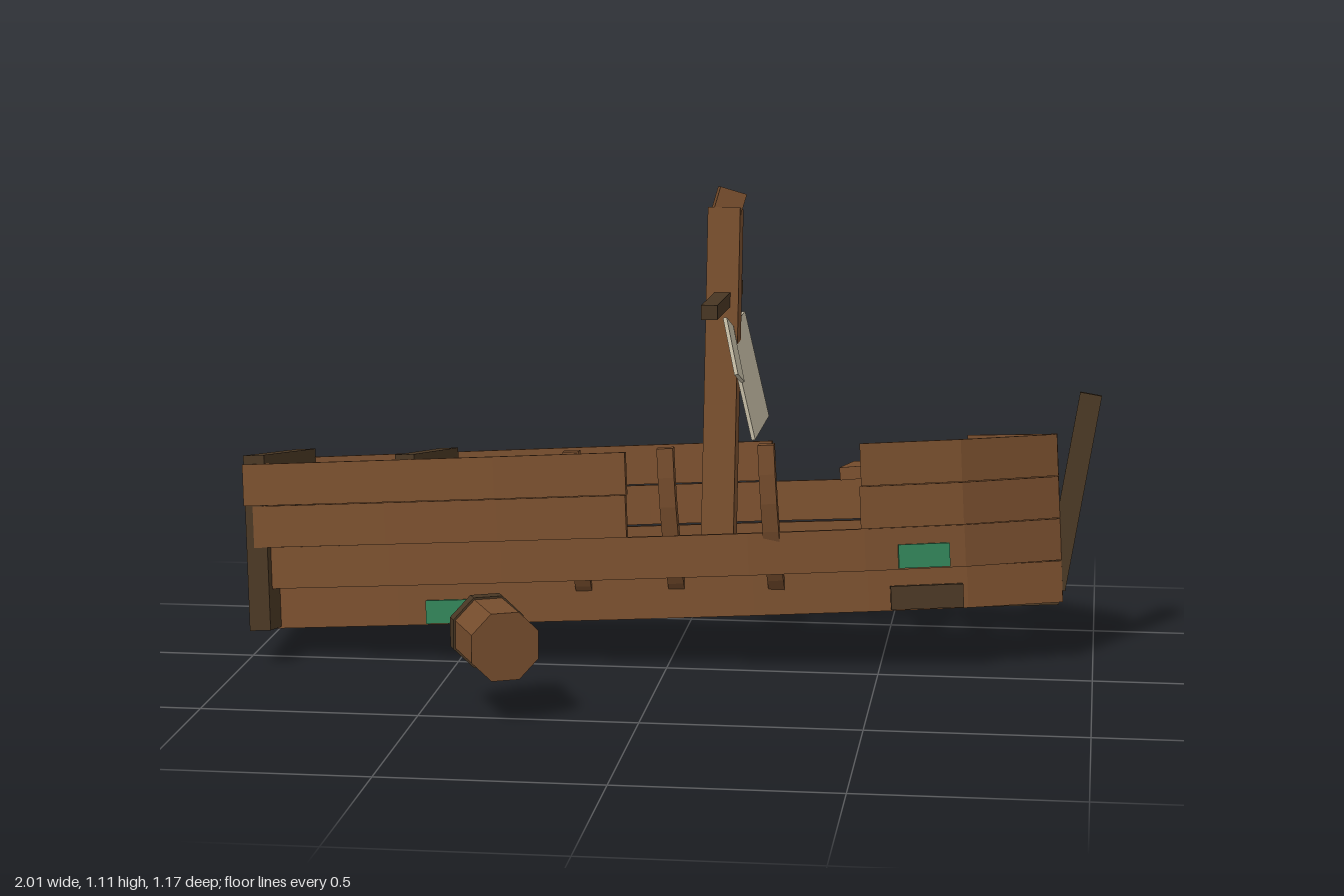
import * as THREE from 'three';

const mat = (name, color) => {
  const m = new THREE.MeshStandardMaterial({ color });
  m.name = name;
  return m;
};
const wood = mat('wood', 0x764d2d);
const darkWood = mat('darkWood', 0x483623);
const canvas = mat('canvas', 0xc6bda6);
const green = mat('greenPatch', 0x308056);

function add(parent, name, geometry, material, pos = [0, 0, 0], rot = [0, 0, 0]) {
  const mesh = new THREE.Mesh(geometry, material);
  mesh.name = name;
  mesh.position.set(...pos);
  mesh.rotation.set(...rot);
  parent.add(mesh);
  return mesh;
}
const box = (parent, name, size, material, pos, rot) =>
  add(parent, name, new THREE.BoxGeometry(...size), material, pos, rot);

// Hull plan: x stations from stern to bow, and the fraction of full beam at each
const stations = [-0.01, 0.33, 0.6, 0.88, 1.18, 1.45, 1.68, 1.9];
const fractions = [0.8, 0.91, 0.98, 1, 0.95, 0.82, 0.59, 0];
const beams = [0.195, 0.29, 0.335, 0.355];
const bowHalf = 0.026;

function halfWidth(x, beam) {
  let i = 0;
  while (i < stations.length - 2 && x > stations[i + 1]) i++;
  const t = (x - stations[i]) / (stations[i + 1] - stations[i]);
  return bowHalf + (beam - bowHalf) * THREE.MathUtils.lerp(fractions[i], fractions[i + 1], t);
}

// Sweeps 4-cornered sections, wound anticlockwise about the path, into a flat-faced bar
function sweep(sections) {
  const pos = [];
  const quad = (a, b, c, d) => pos.push(...a, ...b, ...c, ...a, ...c, ...d);
  for (let i = 0; i < sections.length - 1; i++) {
    const p = sections[i], q = sections[i + 1];
    for (let k = 0; k < 4; k++) {
      const n = (k + 1) % 4;
      quad(p[k], p[n], q[n], q[k]);
    }
  }
  quad(...[...sections[0]].reverse());
  quad(...sections[sections.length - 1]);
  const g = new THREE.BufferGeometry();
  g.setAttribute('position', new THREE.Float32BufferAttribute(pos, 3));
  g.computeVertexNormals();
  return g;
}

// One upright hull plank following the plan curve; side is +1 or -1
function strake(row, side, x0, x1) {
  const xs = [x0, ...stations.filter((x) => x > x0 + 0.01 && x < x1 - 0.01), x1];
  const y0 = row * 0.1 + 0.001, y1 = y0 + 0.098;
  return sweep(xs.map((x) => {
    const out = halfWidth(x, beams[row]), inn = out - 0.026;
    const loop = [[x, y0, out], [x, y0, inn], [x, y1, inn], [x, y1, out]];
    return side > 0 ? loop : loop.map(([a, b, c]) => [a, b, -c]).reverse();
  }));
}

// Curved frame rib inside the hull
function rib(w) {
  const path = new THREE.CatmullRomCurve3([
    [0.11, 0.025], [0.17, 0.07], [0.225, 0.13], [0.27, 0.22], [0.298, 0.31], [0.308, 0.405],
  ].map(([z, y]) => new THREE.Vector3(0, y, z)));
  return sweep(path.getPoints(7).map((p, i) => {
    const t = path.getTangent(i / 7);
    const ny = -t.z * 0.016, nz = t.y * 0.016;
    return [[-w, p.y + ny, p.z + nz], [w, p.y + ny, p.z + nz],
      [w, p.y - ny, p.z - nz], [-w, p.y - ny, p.z - nz]];
  }));
}

export function createModel() {
  const model = new THREE.Group();
  model.name = 'shipwreck';

  // Heeled hull
  const boat = new THREE.Group();
  boat.name = 'boat';
  boat.position.set(-0.97, 0.039, -0.165);
  boat.rotation.set(-0.157, 0, 0.057);
  model.add(boat);

  // Planks: [row, side, from, to], broken off where pieces are missing
  const end = 1.9, start = -0.01;
  [
    [0, 1, start, end], [1, 1, start, end],
    [2, 1, start, 0.905], [2, 1, 1.445, end],
    [3, 1, start, 0.91], [3, 1, 1.45, end],
    [0, -1, start, end], [1, -1, start, end], [2, -1, start, end],
    [3, -1, start, 1.19], [3, -1, 1.68, end],
  ].forEach(([row, side, a, b]) => add(boat, 'hullPlank', strake(row, side, a, b), wood));

  // Floor and keel
  const xs = [0.02, ...stations.slice(1, 6), 1.66];
  const edge = xs.map((x) => new THREE.Vector2(x, halfWidth(x, 0.185)));
  const outline = [...edge, ...edge.map((p) => new THREE.Vector2(p.x, -p.y)).reverse()];
  const floor = new THREE.ExtrudeGeometry(new THREE.Shape(outline), { depth: 0.02, bevelEnabled: false });
  floor.rotateX(Math.PI / 2);
  add(boat, 'floor', floor, darkWood, [0, 0.024, 0]);
  box(boat, 'keel', [1.88, 0.05, 0.055], darkWood, [0.95, 0.02, 0]);

  // Stern, raised deck and bow post
  box(boat, 'transom', [0.05, 0.415, 0.55], darkWood, [0.015, 0.2125, 0]);
  box(boat, 'sternDeck', [0.33, 0.025, 0.53], wood, [0.2, 0.345, 0]);
  box(boat, 'deckBeam', [0.045, 0.11, 0.57], darkWood, [0.38, 0.355, 0]);
  box(boat, 'bowPost', [0.052, 0.47, 0.05], darkWood, [1.932, 0.262, 0.002], [0.02, 0, -0.22]);

  // Thwarts
  box(boat, 'thwart', [0.065, 0.03, 0.47], wood, [1.43, 0.33, 0], [0, 0, 0.04]);
  box(boat, 'thwart', [0.055, 0.03, 0.34], wood, [1.555, 0.335, -0.008], [0, 0, -0.04]);

  // Ribs left standing
  for (const x of [0.78, 1.0, 1.235]) add(boat, 'rib', rib(0.019), wood, [x, 0, 0]);

  // Patches on the planks: [x, row, side, length, material]
  [
    [0.46, 0, 1, 0.12, green], [1.585, 1, 1, 0.12, green],
    [0.22, 1, -1, 0.12, green], [1.04, 0, -1, 0.12, green],
    [1.585, 0, 1, 0.17, darkWood], [1.585, 0, -1, 0.17, darkWood],
  ].forEach(([x, row, side, len, m]) => {
    const slope = halfWidth(x + 0.05, beams[row]) - halfWidth(x - 0.05, beams[row]);
    const depth = m === green ? 0.018 : 0.034;
    box(boat, m === green ? 'greenPatch' : 'repairBoard', [len, 0.055, depth], m,
      [x, row * 0.1 + 0.032, side * (halfWidth(x, beams[row]) + 0.008)],
      [0, -side * Math.atan(slope / 0.1) * 0.7, 0]);
  });

  // Mast with a splintered tip
  const mast = new THREE.Group();
  mast.name = 'mast';
  mast.position.set(1.074, 0.02, 0);
  mast.rotation.set(-0.03, 0, -0.055);
  boat.add(mast);
  box(mast, 'mastPole', [0.078, 0.95, 0.078], wood, [0, 0.475, 0]);
  box(mast, 'mastTip', [0.066, 0.07, 0.066], wood, [0.006, 0.96, 0], [0.08, 0.2, -0.28]);

  // Yard and torn sail
  box(model, 'yard', [0.038, 0.034, 0.58], darkWood, [0.1, 0.842, -0.285], [-0.035, 0, 0]);
  box(model, 'sailLarge', [0.009, 0.268, 0.345], canvas, [0.155, 0.648, -0.357], [-0.01, 0, 0.23]);
  box(model, 'sailSmall', [0.009, 0.137, 0.157], canvas, [0.146, 0.747, -0.108], [-0.28, 0, 0.23]);

  // Drifting barrel
  const barrel = new THREE.Group();
  barrel.name = 'barrel';
  barrel.position.set(-0.328, 0.178, 0.471);
  barrel.rotation.y = 0.43;
  model.add(barrel);
  const drum = (r, len) => {
    const g = new THREE.CylinderGeometry(r, r, len, 8).toNonIndexed();
    g.rotateY(Math.PI / 8).rotateX(Math.PI / 2).computeVertexNormals();
    return g;
  };
  add(barrel, 'barrelBody', drum(0.083, 0.178), wood);
  add(barrel, 'barrelHoop', drum(0.088, 0.03), darkWood, [0, 0, -0.072]);

  return model;
}
